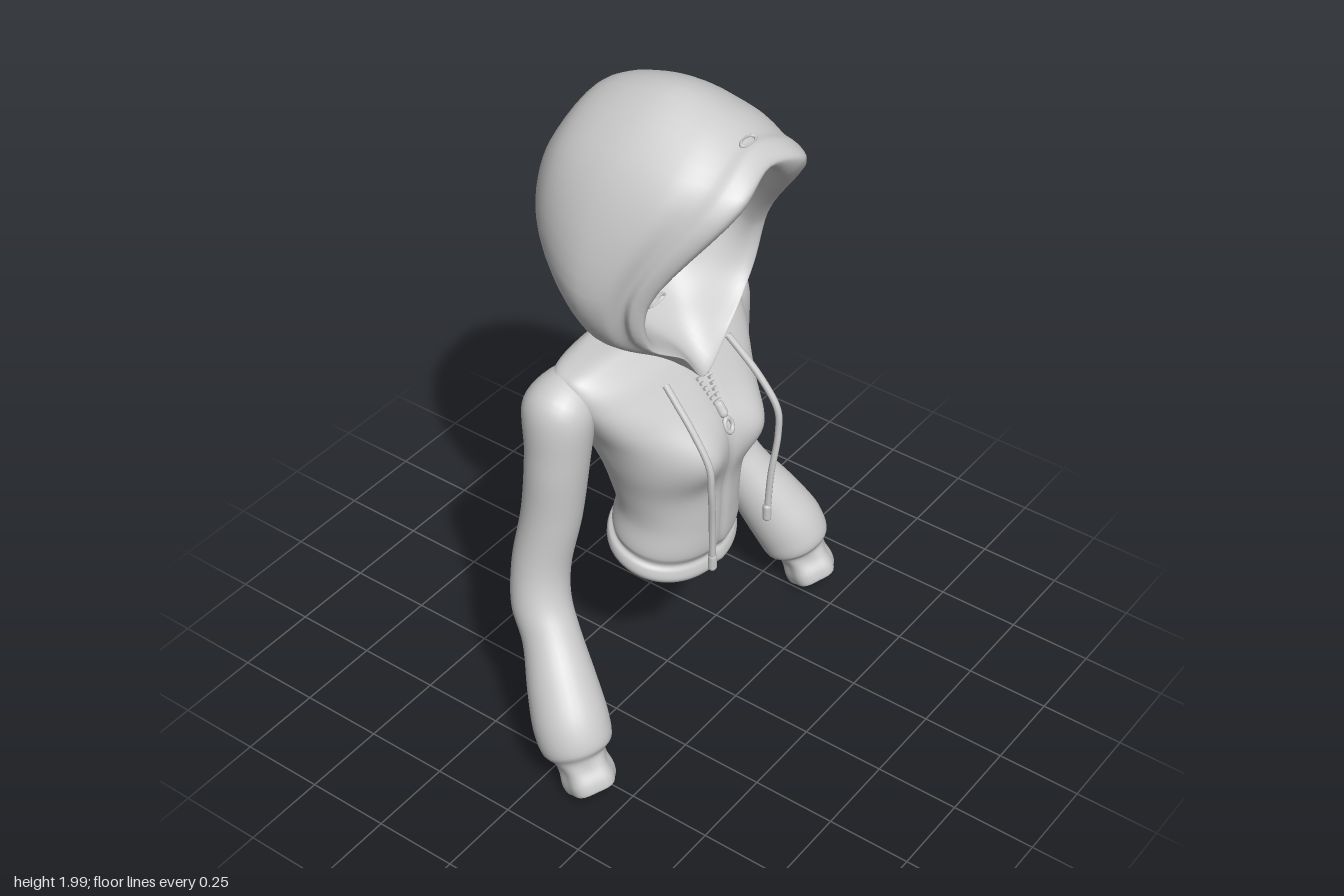
import * as THREE from 'three';
import { mergeVertices } from 'three/addons/utils/BufferGeometryUtils.js';

const V = (x, y, z) => new THREE.Vector3(x, y, z);
const { lerp, smoothstep } = THREE.MathUtils;
const material = new THREE.MeshStandardMaterial({ color: 0xcccccc, roughness: 0.8, side: THREE.DoubleSide });

function add(group, name, geometry, x = 0, y = 0, z = 0) {
  const mesh = new THREE.Mesh(geometry, material);
  mesh.name = name;
  mesh.position.set(x, y, z);
  group.add(mesh);
  return mesh;
}

// Smooth skin through closed rings with equal point counts
function loft(rings, steps) {
  const n = rings[0].length, pos = [], index = [];
  const lines = rings[0].map((_, k) => new THREE.CatmullRomCurve3(rings.map(r => r[k])));
  for (let i = 0; i <= steps; i++) {
    for (const line of lines) pos.push(...line.getPoint(i / steps).toArray());
  }
  for (let i = 0; i < steps; i++) {
    for (let j = 0; j < n; j++) {
      const a = i * n + j, b = i * n + (j + 1) % n;
      index.push(a, b, a + n, b, b + n, a + n);
    }
  }
  let g = new THREE.BufferGeometry();
  g.setAttribute('position', new THREE.Float32BufferAttribute(pos, 3));
  g.setIndex(index);
  g = mergeVertices(g, 1e-5);
  g.computeVertexNormals();
  return g;
}

// Half outlines from top to bottom, running from the back of the hood to the rolled lip
const hoodShell = [
  [[0, 1.81, -.295], [.13, 1.76, -.295], [.18, 1.62, -.292], [.13, 1.49, -.28], [.06, 1.455, -.272], [0, 1.45, -.27]],
  [[0, 1.94, -.2], [.2, 1.83, -.2], [.275, 1.6, -.2], [.21, 1.42, -.19], [.1, 1.36, -.2], [0, 1.345, -.2]],
  [[0, 2, .01], [.23, 1.86, -.04], [.343, 1.54, -.05], [.27, 1.36, -.06], [.14, 1.27, -.11], [0, 1.25, -.13]],
  [[0, 1.965, .15], [.22, 1.85, .15], [.328, 1.53, .04], [.272, 1.36, .02], [.15, 1.255, .03], [0, 1.19, .04]],
  [[0, 1.922, .24], [.185, 1.84, .24], [.288, 1.54, .085], [.245, 1.37, .06], [.125, 1.255, .08], [0, 1.155, .095]],
  [[0, 1.915, .28], [.18, 1.83, .285], [.292, 1.53, .11], [.255, 1.37, .09], [.12, 1.26, .115], [0, 1.145, .112]],
  [[0, 1.875, .32], [.145, 1.82, .33], [.268, 1.52, .135], [.235, 1.36, .115], [.105, 1.255, .135], [0, 1.135, .128]],
];
const hoodLining = [
  [[0, 1.855, .3], [.105, 1.775, .29], [.24, 1.5, .115], [.21, 1.36, .1], [.085, 1.25, .11], [0, 1.16, .115]],
  [[0, 1.865, .2], [.14, 1.78, .18], [.25, 1.52, .04], [.18, 1.37, .01], [.08, 1.28, .01], [0, 1.26, .01]],
  [[0, 1.86, 0], [.17, 1.76, 0], [.23, 1.53, -.05], [.15, 1.38, -.08], [.08, 1.33, -.07], [0, 1.315, -.06]],
  [[0, 1.76, -.2], [.12, 1.69, -.2], [.165, 1.54, -.2], [.11, 1.42, -.18], [.06, 1.39, -.17], [0, 1.38, -.17]],
];

function hoodRing(half) {
  const mirrored = half.map(([x, y, z]) => V(-x, y, z));
  const other = half.slice(1, -1).reverse().map(p => V(...p));
  const curve = new THREE.CatmullRomCurve3([...mirrored, ...other], true);
  return Array.from({ length: 60 }, (_, k) => curve.getPoint(k / 60));
}

function buildHood() {
  const rings = [...hoodShell, ...hoodLining].map(hoodRing);
  // Rounded cap between a ring and its pole
  const cap = (ring, y, z) => [0, .2, .55].map(t =>
    ring.map(p => V(p.x * t, lerp(y, p.y, t), lerp(z, p.z, t * t))));
  const back = cap(rings[0], 1.63, -.333), inner = cap(rings.at(-1), 1.56, -.25).reverse();
  return loft([...back, ...rings, ...inner], 112);
}

// Body rows: height, half width, front z, back z, slope towards the front
const bodyRows = [
  [.60, .185, .16, -.12, .28], [.545, .192, .16, -.13, .28], [.529, .203, .168, -.14, .28],
  [.548, .215, .18, -.145, .28], [.575, .211, .178, -.14, .28], [.59, .199, .171, -.125, .27],
  [.615, .204, .187, -.13, .2], [.7, .194, .195, -.12, .1], [.8, .213, .2, -.14, .03],
  [.9, .245, .215, -.165, 0], [1, .277, .2, -.187, 0], [1.08, .315, .155, -.194, 0],
  [1.15, .345, .105, -.194, 0], [1.2, .355, .065, -.185, 0], [1.235, .345, .025, -.168, 0],
  [1.257, .28, 0, -.145, 0], [1.264, .15, -.03, -.12, 0], [1.264, .02, -.07, -.08, 0],
];

function buildBody() {
  const round = (v, e) => Math.sign(v) * Math.abs(v) ** e;
  const rings = bodyRows.map(([y, w, zf, zb, slope]) => Array.from({ length: 120 }, (_, k) => {
    // The back squares off towards the shoulder blades
    const a = k / 120 * Math.PI * 2, c = Math.cos(a);
    const e = lerp(.96, c > 0 ? .85 : .62, smoothstep(y, .88, 1.12));
    const x = w * round(Math.sin(a), e);
    const z = (zf + zb) / 2 + round(c, e) * (zf - zb) / 2;
    return V(x, y - slope * z, z);
  }));
  const g = loft(rings, 102), p = g.attributes.position;
  // Chest fullness, the closed zip seam and a shallow groove down the spine
  for (let i = 0; i < p.count; i++) {
    const x = p.getX(i), y = p.getY(i), z = p.getZ(i);
    if (z > 0) {
      const chest = .047 * Math.exp(-(((Math.abs(x) - .12) / .085) ** 2) - ((y - .95) / .09) ** 2);
      p.setZ(i, z + chest - .007 * Math.exp(-((x / .014) ** 2)));
    } else if (z < -.08) {
      p.setZ(i, z + .015 * Math.exp(-((x / .05) ** 2) - ((y - .85) / .2) ** 2));
    }
  }
  g.computeVertexNormals();
  return g;
}

// Sleeve path: x, y, z, radius, ending in a folded-in cuff
const sleevePath = [
  [.2, 1.14, -.085, .05], [.285, 1.155, -.096, .086], [.348, 1.13, -.098, .102], [.368, 1, -.093, .09],
  [.382, .8, -.108, .085], [.412, .62, -.128, .083], [.438, .51, -.11, .085], [.462, .43, -.06, .083],
  [.505, .31, .01, .1], [.535, .22, .062, .108], [.546, .16, .09, .1], [.55, .135, .102, .077],
  [.552, .108, .117, .071], [.554, .068, .138, .077], [.555, .043, .15, .07], [.555, .048, .147, .054],
  [.553, .075, .132, .04], [.553, .08, .13, .004],
];

function buildSleeve(s) {
  const curve = new THREE.CatmullRomCurve3(sleevePath.slice(0, 14).map(([x, y, z]) => V(s * x, y, z)));
  const rings = sleevePath.map(([x, y, z, r], i) => {
    const T = curve.getTangent(Math.min(i / 13, 1));
    const N = V(0, 0, 1).addScaledVector(T, -T.z).normalize();
    const B = T.clone().cross(N);
    return Array.from({ length: 32 }, (_, k) => {
      const a = k / 32 * Math.PI * 2;
      const q = i > 11 && i < 17 ? r * (1 + .06 * Math.cos(a * 5)) : r;
      return V(s * x, y, z).addScaledVector(N, q * Math.cos(a)).addScaledVector(B, q * Math.sin(a));
    });
  });
  return loft(rings, 102);
}

const tube = (points, r, n = 48) =>
  new THREE.TubeGeometry(new THREE.CatmullRomCurve3(points.map(p => V(...p))), n, r, 8);

export function createModel() {
  const model = new THREE.Group();
  model.name = 'hoodedJacket';
  add(model, 'hood', buildHood());
  add(model, 'body', buildBody());

  for (const [s, side] of [[1, 'left'], [-1, 'right']]) {
    add(model, side + 'Sleeve', buildSleeve(s));
    // Drawstring hanging free below the chest
    add(model, side + 'Drawstring', tube([
      [s * .142, 1.175, .1], [s * .147, 1.14, .135], [s * .155, 1.07, .2], [s * .16, .98, .258],
      [s * .158, .9, .264], [s * .14, .76, .256], [s * .132, .62, .252]], .01));
    add(model, side + 'DrawstringTip', new THREE.CapsuleGeometry(.013, .035, 4, 10), s * .132, .628, .252);
  }

  // Front zip: open teeth, slider and pull
  const zip = new THREE.Group();
  zip.name = 'zip';
  model.add(zip);
  for (let i = 0; i < 6; i++) {
    for (const s of [-1, 1]) {
      const tooth = add(zip, 'zipTooth', new THREE.BoxGeometry(.014, .008, .012),
        s * (.008 + i * .003), 1.065 + i * .014, .167 - i * .009);
      tooth.rotation.x = -.6;
    }
  }
  add(zip, 'zipSlider', new THREE.CapsuleGeometry(.014, .025, 4, 10), 0, 1.045, .181).rotation.x = -.6;
  const pull = add(zip, 'zipPull', new THREE.TorusGeometry(.015, .006, 8, 20), 0, 1.003, .207);
  pull.scale.y = 1.4;
  pull.rotation.x = -.4;

  // Neck loop inside the collar and a small stitch on the brow
  add(model, 'neckLoop', new THREE.TorusGeometry(.036, .007, 8, 24), 0, 1.312, -.04).scale.y = .3;
  const stitch = add(model, 'browStitch', new THREE.TorusGeometry(.028, .006, 8, 20), 0, 1.92, .25);
  stitch.scale.y = .45;
  stitch.rotation.x = -1.3;
  return model;
}
